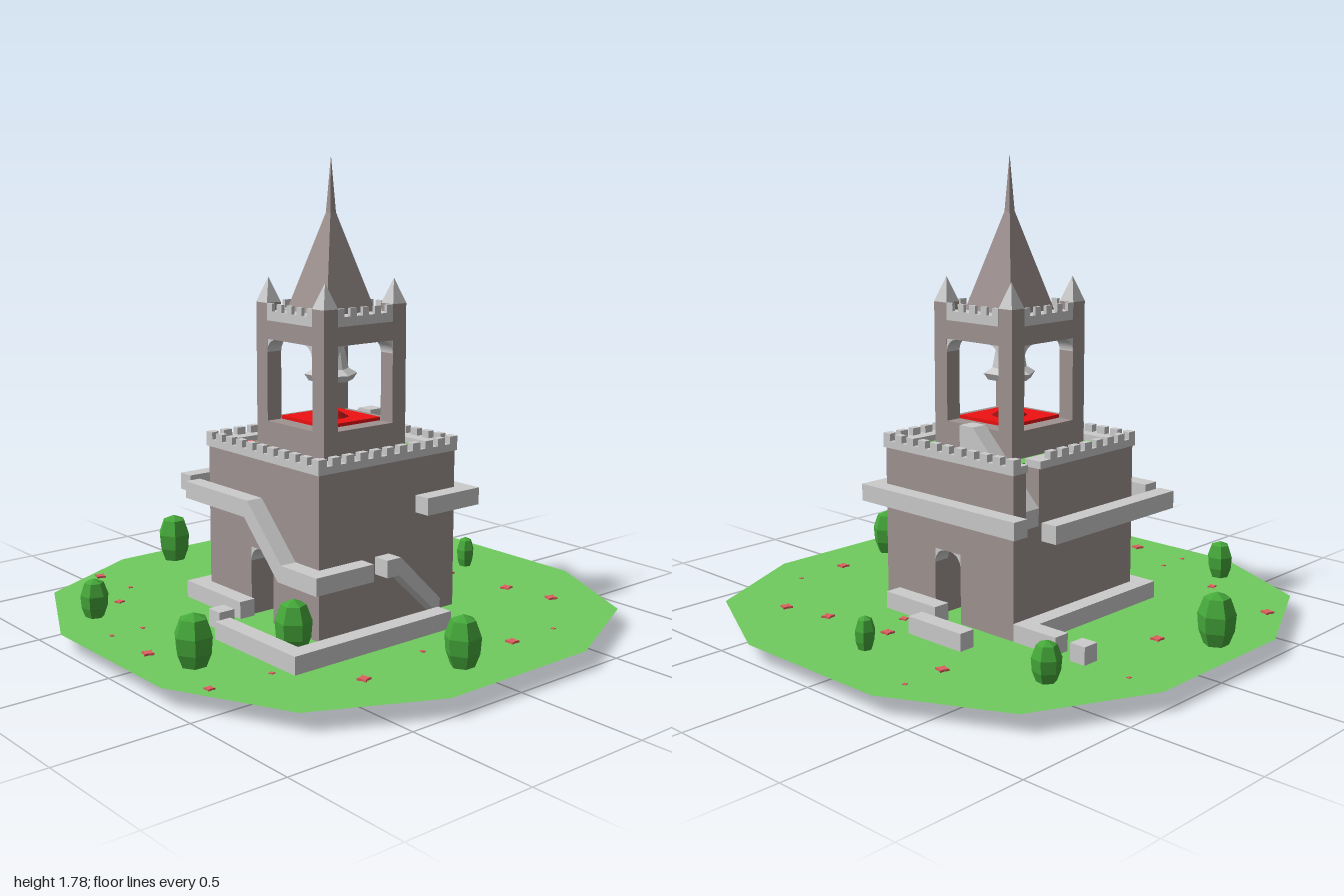
import * as THREE from 'three';

const mat = (color, side = THREE.FrontSide) =>
  new THREE.MeshStandardMaterial({ color, flatShading: true, side });

export function createModel() {
  const root = new THREE.Group();
  const stone = mat(0x9f9391), pale = mat(0xcccccc), grass = mat(0x70cc5f, THREE.DoubleSide);
  const leaf = mat(0x45a83a), petal = mat(0xe05f5f), red = mat(0xee1111), darkRed = mat(0x8c1010);

  const add = (name, geo, material, parent = root) => {
    const m = new THREE.Mesh(geo, material);
    m.name = name;
    parent.add(m);
    return m;
  };
  const group = (name, parent = root) => {
    const g = new THREE.Group();
    g.name = name;
    parent.add(g);
    return g;
  };
  // Box from its min and max corners
  const box = (name, x0, x1, y0, y1, z0, z1, material, parent) => {
    const m = add(name, new THREE.BoxGeometry(x1 - x0, y1 - y0, z1 - z0), material, parent);
    m.position.set((x0 + x1) / 2, (y0 + y1) / 2, (z0 + z1) / 2);
    return m;
  };
  const shapeOf = (pts) => new THREE.Shape(pts.map((p) => new THREE.Vector2(...p)));
  const extrude = (shape, depth) =>
    new THREE.ExtrudeGeometry(shape, { depth, bevelEnabled: false, curveSegments: 5 });
  // Extrude a (-z, y) profile from x0 to x1
  const slab = (name, shape, x0, x1, material, parent) => {
    const m = add(name, extrude(shape, x1 - x0).rotateY(Math.PI / 2), material, parent);
    m.position.x = x0;
    return m;
  };

  // Ground: twelve-cornered lawn
  const lawn = [[-0.33, -1], [0.33, -1], [0.78, -0.78], [1, -0.33], [1, 0.33], [0.78, 0.78],
    [0.33, 1], [-0.33, 1], [-0.78, 0.78], [-1, 0.33], [-1, -0.33], [-0.78, -0.78]];
  add('lawn', new THREE.ShapeGeometry(shapeOf(lawn)).rotateX(-Math.PI / 2), grass).position.y = 0.067;

  // Main tower: slabs with a doorway tunnel; the middle one is cut for the roof stair
  const tower = group('lowerTower');
  const withDoor = (pts) => {
    const s = shapeOf(pts);
    s.holes.push(new THREE.Path([[-0.067, 0.06], [-0.067, 0.333], [0.067, 0.333], [0.067, 0.06]]
      .map((p) => new THREE.Vector2(...p))));
    return s;
  };
  const full = [[-0.333, 0], [0.333, 0], [0.333, 0.677], [-0.333, 0.677]];
  const cut = [[-0.333, 0], [0.333, 0], [0.333, 0.467], [0.123, 0.677], [-0.333, 0.677]];
  slab('towerBody', withDoor(full), -0.333, 0.2, stone, tower);
  slab('towerStairSlot', withDoor(cut), 0.2, 0.267, stone, tower);
  slab('towerSide', withDoor(full), 0.267, 0.333, stone, tower);
  box('roofLawn', -0.253, 0.2, 0.677, 0.685, -0.253, 0.253, grass, tower);
  box('roofLawnEdge', 0.2, 0.267, 0.677, 0.685, -0.1, 0.253, grass, tower);
  slab('roofStair', shapeOf([[0.333, 0.467], [0.333, 0.533], [0.067, 0.8], [0, 0.8], [0, 0.677],
    [0.123, 0.677]]), 0.2, 0.267, pale, tower);

  // Curved corner brackets under the head of an opening
  const bracketShape = (r) => {
    const s = new THREE.Shape();
    s.moveTo(0, 0);
    s.lineTo(r, 0);
    s.absarc(r, -r, r, Math.PI / 2, Math.PI, false);
    s.lineTo(0, 0);
    return s;
  };
  const brackets = (name, half, top, r, depth, offset, turn, parent) => {
    for (const flip of [0, Math.PI]) {
      const g = group(name, parent);
      g.rotation.y = turn + flip;
      add(name, extrude(bracketShape(r), depth), pale, g).position.set(-half, top, offset);
    }
  };
  brackets('doorBracket', 0.067, 0.333, 0.055, 0.066, 0.267, Math.PI / 2, tower);
  brackets('doorBracket', 0.067, 0.333, 0.055, 0.066, -0.333, Math.PI / 2, tower);

  // Battlement: walkway and evenly spaced merlons on four sides
  const battlement = (parent, half, depth, y0, y1, y2, thick, count, span, width, gap) => {
    for (let side = 0; side < 4; side++) {
      const g = group('battlementSide', parent);
      g.rotation.y = side * Math.PI / 2;
      const back = gap && side === 2;
      if (back) {
        box('walkway', -half, -0.267, y0, y1, half - depth, half, pale, g);
        box('walkway', -0.2, half, y0, y1, half - depth, half, pale, g);
      } else {
        box('walkway', -span, span, y0, y1, half - depth, half, pale, g);
      }
      for (let i = 0; i < count; i++) {
        const x = -span + width / 2 + i * (2 * span - width) / (count - 1);
        if (back && x > -0.28 && x < -0.19) continue;
        box('merlon', x - width / 2, x + width / 2, y1, y2, half - thick, half, pale, g);
      }
    }
  };
  battlement(group('lowerBattlement'), 0.34, 0.075, 0.677, 0.705, 0.733, 0.027, 11, 0.34, 0.038, true);

  // Belfry
  const belfry = group('belfry');
  box('belfryBase', -0.2, 0.2, 0.67, 0.787, -0.2, 0.2, stone, belfry);
  box('belfryFloor', -0.133, 0.133, 0.787, 0.8, -0.133, 0.133, red, belfry);
  add('floorRosette', new THREE.CylinderGeometry(0.045, 0.07, 0.015, 8), darkRed, belfry).position.y = 0.807;
  box('belfryHead', -0.2, 0.2, 1.1, 1.17, -0.2, 0.2, stone, belfry);
  for (const x of [-0.167, 0.167]) {
    for (const z of [-0.167, 0.167]) {
      box('post', x - 0.033, x + 0.033, 0.787, 1.235, z - 0.033, z + 0.033, stone, belfry);
      const p = add('pinnacle', new THREE.ConeGeometry(0.047, 0.095, 4).rotateY(Math.PI / 4), pale, belfry);
      p.position.set(x, 1.2825, z);
    }
  }
  for (const turn of [0, Math.PI / 2]) {
    brackets('archBracket', 0.133, 1.1, 0.05, 0.066, 0.134, turn, belfry);
    brackets('archBracket', 0.133, 1.1, 0.05, 0.066, -0.2, turn, belfry);
  }
  battlement(group('upperBattlement', belfry), 0.2, 0.07, 1.17, 1.205, 1.235, 0.014, 5, 0.133, 0.03, false);

  const lathe = (name, pts, sides, material, parent) =>
    add(name, new THREE.LatheGeometry(pts.map((p) => new THREE.Vector2(...p)), sides), material, parent);
  // Four-sided steeple with a needle tip (radii are to the corners)
  lathe('steeple', [[0.181, 1.17], [0.019, 1.57], [0, 1.78]], 4, stone, belfry).rotation.y = Math.PI / 4;
  lathe('bell', [[0, 0.96], [0.085, 0.94], [0.102, 0.965], [0.068, 0.985], [0.055, 1.05],
    [0.035, 1.09], [0, 1.115]], 6, pale, belfry);

  // Stone paths climbing around the tower: [x0, x1, y0, y1, z0, z1]
  const path = group('stonePath');
  const lo = [0.067, 0.133], mid = [0.467, 0.533];
  [
    [-0.597, 0.133, ...lo, 0.46, 0.527], [-0.597, -0.53, ...lo, 0.067, 0.46],
    [-0.53, -0.463, ...lo, -0.067, 0], [-0.4, -0.333, ...lo, -0.333, -0.05],
    [-0.4, 0.333, ...lo, -0.4, -0.333], [0.267, 0.333, ...lo, -0.533, -0.4],
    [0.267, 0.333, ...lo, -0.667, -0.6], [0.467, 0.533, ...lo, -0.267, 0],
    [0.333, 0.4, ...lo, 0, 0.267], [-0.4, -0.133, 0.267, 0.333, 0.333, 0.4],
    [0.133, 0.4, ...mid, 0.333, 0.4], [0.333, 0.4, ...mid, -0.4, 0.333],
    [-0.333, 0.333, ...mid, -0.533, -0.467],
  ].forEach((b) => box('pathBlock', ...b, pale, path));
  // Front ramp from the ground, and side ramp up to the middle level
  add('frontRamp', extrude(shapeOf([[-0.067, 0.267], [-0.01, 0.267], [0.2, 0.07], [0.2, 0.137],
    [0, 0.333], [-0.067, 0.333]]), 0.067), pale, path).position.z = 0.333;
  slab('sideRamp', shapeOf([[-0.333, 0.267], [-0.18, 0.267], [0.02, 0.467], [0.4, 0.467],
    [0.4, 0.533], [0, 0.533], [-0.2, 0.333], [-0.333, 0.333]]), -0.4, -0.333, pale, path);

  // Bushes: [x, z, radius, top]
  const bushes = group('bushes');
  [[-0.15, -0.87, 0.07, 0.26], [0.52, -0.66, 0.053, 0.21], [-0.8, -0.43, 0.053, 0.215],
    [-0.8, 0.23, 0.072, 0.255], [-0.45, 0.335, 0.067, 0.255], [0.74, 0, 0.038, 0.19],
    [-0.1, 0.82, 0.066, 0.25]].forEach(([x, z, r, top], i) => {
    const h = top - 0.058;
    const b = lathe('bush', [[0, 0], [0.6 * r, 0], [0.93 * r, 0.3 * h], [r, 0.6 * h],
      [0.68 * r, 0.9 * h], [0, h]], 6, leaf, bushes);
    b.position.set(x, 0.058, z);
    b.rotation.y = Math.PI / 6 + i * 0.35;
  });

  // Flowers: [x, z, size, height]
  const flowers = group('flowers');
  const star = [];
  for (let i = 0; i < 8; i++) {
    const a = i * Math.PI / 4, r = i % 2 ? 0.55 : 1;
    star.push([r * Math.cos(a), r * Math.sin(a)]);
  }
  const starGeo = extrude(shapeOf(star), 0.3).rotateX(-Math.PI / 2);
  const big = 0.026, small = 0.012;
  [[-0.54, -0.83, big], [-0.03, -0.7, big], [-0.65, -0.5, 0.02], [0.7, -0.35, big],
    [0.59, 0.05, big], [0.63, 0.34, big], [0.67, 0.54, big], [0.19, 0.78, big],
    [-0.45, 0.71, big], [-0.87, 0.05, big], [-0.89, 0.45, 0.02], [0.45, 0.115, 0.02],
    [-0.52, -0.63, small], [0.32, -0.85, 0.01], [0.87, -0.35, 0.01], [-0.87, -0.19, 0.01],
    [-0.74, -0.19, 0.01], [-0.65, 0.47, small], [-0.12, 0.645, small], [0.41, 0.78, 0.01],
    [-0.21, -0.235, big, 0.685], [0.23, 0.075, small, 0.685], [-0.23, 0.03, small, 0.685],
  ].forEach(([x, z, s, y = 0.071], i) => {
    const f = add('flower', starGeo, petal, flowers);
    f.position.set(x, y, z);
    f.scale.setScalar(s);
    f.rotation.y = Math.PI / 4 + 0.3 * (i % 3 - 1);
  });

  return root;
}
